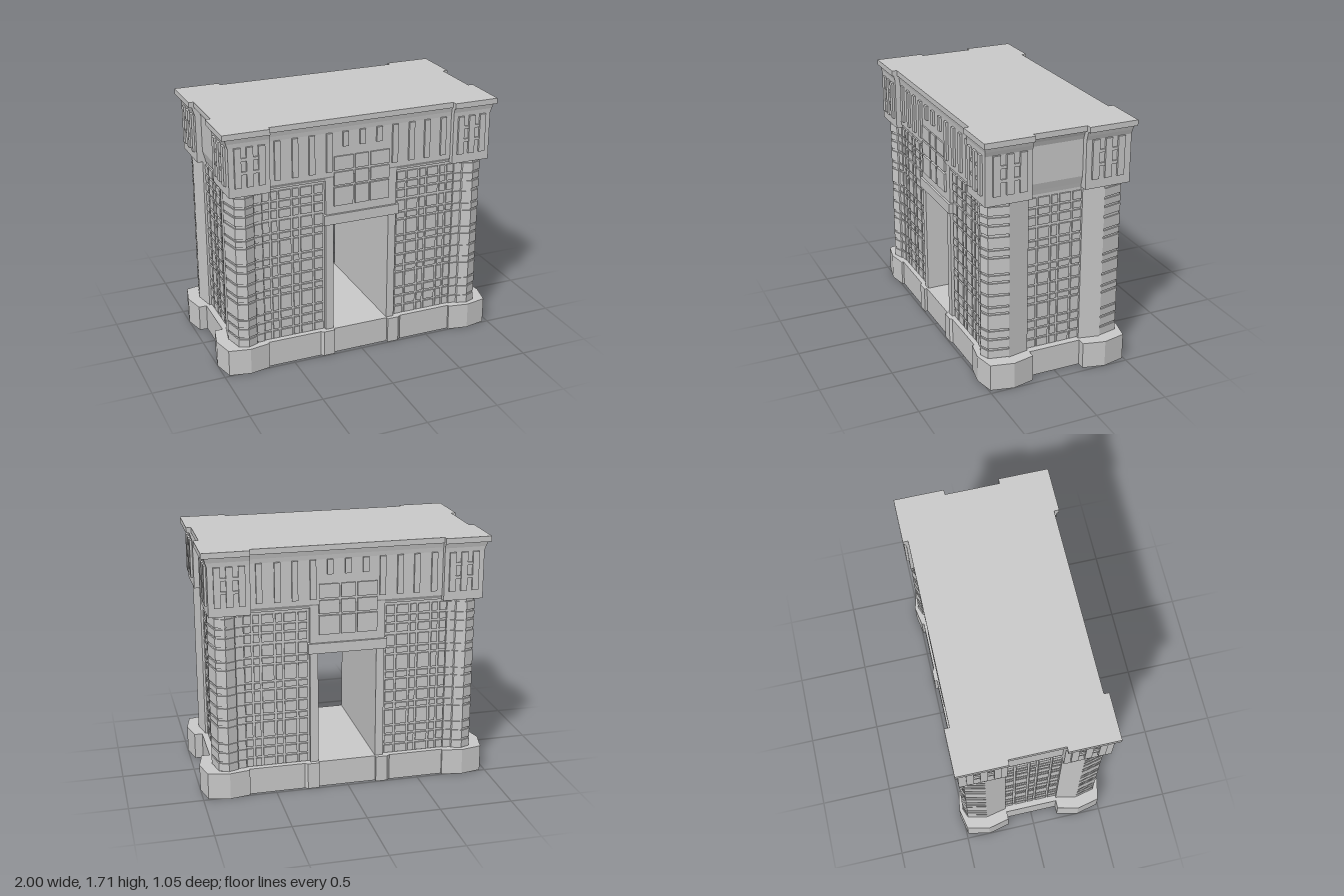
import * as THREE from 'three';
import { mergeGeometries } from 'three/addons/utils/BufferGeometryUtils.js';

const stone = new THREE.MeshStandardMaterial({ color: 0xcccccc, flatShading: true });

// Closed solid through plan rings [x, z], one ring per [y, ring] section
function loft(sections) {
  const area = r => r.reduce((s, p, i) => {
    const q = r[(i + 1) % r.length];
    return s - p[0] * q[1] + q[0] * p[1];
  }, 0);
  const secs = sections.map(([y, r]) => [y, area(r) < 0 ? [...r].reverse() : r]);
  const pos = [];
  const tri = (a, b, c) => pos.push(...a, ...b, ...c);
  const at = (s, i) => {
    const [y, r] = secs[s], p = r[i % r.length];
    return [p[0], y, p[1]];
  };
  const n = secs[0][1].length, last = secs.length - 1;
  for (let s = 0; s < last; s++) for (let i = 0; i < n; i++) {
    tri(at(s, i), at(s, i + 1), at(s + 1, i + 1));
    tri(at(s, i), at(s + 1, i + 1), at(s + 1, i));
  }
  for (const s of [0, last]) {
    const flat = secs[s][1].map(p => new THREE.Vector2(p[0], -p[1]));
    for (const [a, b, c] of THREE.ShapeUtils.triangulateShape(flat, [])) {
      if (s) tri(at(s, a), at(s, b), at(s, c));
      else tri(at(s, a), at(s, c), at(s, b));
    }
  }
  const g = new THREE.BufferGeometry();
  g.setAttribute('position', new THREE.Float32BufferAttribute(pos, 3));
  g.computeVertexNormals();
  return g;
}

// Mirrors a quarter plan (front to side) into a whole ring
const full = q => {
  const r = [...q].reverse();
  return [...q, ...r.map(([x, z]) => [x, -z]), ...q.map(([x, z]) => [-x, -z]), ...r.map(([x, z]) => [-x, z])];
};

const box = (x0, x1, y0, y1, z0, z1) => new THREE.BoxGeometry(x1 - x0, y1 - y0, z1 - z0)
  .translate((x0 + x1) / 2, (y0 + y1) / 2, (z0 + z1) / 2);

// Plan with projecting corner towers
const towerPlan = (xt, zt, xs, zc) => full([[0.65, zc], [0.65, zt], [xt, zt], [xt, 0.185], [xs, 0.185]]);

// Masonry courses, bottom and top
const courses = [
  [0.19, 0.245], [0.26, 0.32], [0.335, 0.385], [0.4, 0.505], [0.52, 0.555], [0.57, 0.64], [0.655, 0.73],
  [0.745, 0.785], [0.8, 0.905], [0.92, 0.96], [0.975, 1.05], [1.07, 1.125], [1.14, 1.185], [1.2, 1.258]
];
const sideColumns = [[-0.19, -0.13], [-0.115, -0.036], [-0.021, 0.021], [0.036, 0.115], [0.13, 0.19]];
const frontColumns = [[0.27, 0.33], [0.345, 0.425], [0.44, 0.48], [0.495, 0.575], [0.59, 0.63], [0.645, 0.69]];

export function createModel() {
  const model = new THREE.Group();
  const add = (name, ...geos) => {
    const list = geos.map(g => (g.index ? g.toNonIndexed() : g));
    list.forEach(g => g.deleteAttribute('uv'));
    const mesh = new THREE.Mesh(mergeGeometries(list), stone);
    mesh.name = name;
    model.add(mesh);
  };
  const signs = [-1, 1];
  // Box repeated on the left, right, front and back
  const four = (x0, x1, y0, y1, z0, z1) => signs.flatMap(sx => signs.map(sz => box(
    sx < 0 ? -x1 : x0, sx < 0 ? -x0 : x1, y0, y1, sz < 0 ? -z1 : z0, sz < 0 ? -z0 : z1)));
  // Box repeated on the front and back
  const frontBack = (x0, x1, y0, y1, z0, z1) => [box(x0, x1, y0, y1, z0, z1), box(x0, x1, y0, y1, -z1, -z0)];

  // Plinth with pointed corner bays
  const basePlan = full([[0.2, 0.475], [0.2, 0.495], [0.28, 0.495], [0.3, 0.48], [0.68, 0.48], [0.68, 0.495],
    [0.82, 0.52], [0.965, 0.49], [1, 0.335], [0.965, 0.185], [0.91, 0.185]]);
  add('plinth', loft([[0, basePlan], [0.185, basePlan]]));

  // Wall core either side of the passage, bridged above
  add('walls', ...signs.map(s => box(s < 0 ? -0.86 : 0.2, s < 0 ? -0.2 : 0.86, 0.18, 0.97, -0.44, 0.44)),
    box(-0.86, 0.86, 0.97, 1.35, -0.44, 0.44));

  // Raised wall blocks
  const blocks = [];
  for (const [y0, y1] of courses) {
    for (const [a, b] of frontColumns) blocks.push(...four(a, b, y0, y1, 0.435, 0.45));
    for (const [a, b] of sideColumns) for (const s of signs)
      blocks.push(box(s < 0 ? -0.87 : 0.855, s < 0 ? -0.855 : 0.87, y0, y1, a, b));
  }
  add('wallBlocks', ...blocks);

  // Corner shafts: a core, with raised courses on the outer half
  const core = [[0.695, 0.4], [0.695, 0.448], [0.75, 0.452], [0.755, 0.463], [0.82, 0.487], [0.878, 0.463],
    [0.907, 0.335], [0.915, 0.335], [0.885, 0.19], [0.8, 0.19]];
  const course = [[0.695, 0.4], [0.695, 0.455], [0.75, 0.46], [0.755, 0.47], [0.82, 0.495], [0.885, 0.47],
    [0.915, 0.335], [0.8, 0.335]];
  const shafts = [], shaftCourses = [];
  for (const sx of signs) for (const sz of signs) {
    const flip = r => r.map(([x, z]) => [x * sx, z * sz]);
    shafts.push(loft([[0.18, flip(core)], [1.3, flip(core)]]));
    for (const [y0, y1] of courses) shaftCourses.push(loft([[y0, flip(course)], [y1, flip(course)]]));
  }
  add('cornerShafts', ...shafts);
  add('shaftCourses', ...shaftCourses);

  // Passage surround
  add('jambs', ...four(0.2, 0.255, 0.18, 0.97, 0.42, 0.465));
  add('lintel', ...frontBack(-0.27, 0.27, 0.97, 1.04, 0.42, 0.48));
  add('upperPier', ...frontBack(-0.255, 0.255, 1.04, 1.32, 0.42, 0.465));
  add('architrave', ...four(0.255, 0.66, 1.28, 1.31, 0.42, 0.46));

  // Frieze, with a coved foot on the side walls
  add('frieze', loft([
    [1.28, towerPlan(0.925, 0.505, 0.865, 0.455)],
    [1.31, towerPlan(0.925, 0.505, 0.872, 0.47)],
    [1.36, towerPlan(0.925, 0.505, 0.885, 0.47)],
    [1.61, towerPlan(0.925, 0.505, 0.885, 0.47)],
    [1.64, towerPlan(0.935, 0.507, 0.895, 0.473)],
    [1.675, towerPlan(0.945, 0.515, 0.91, 0.48)]
  ]));

  // Roof slab
  const cap = towerPlan(0.965, 0.525, 0.93, 0.49);
  add('roofSlab', loft([[1.672, cap], [1.71, cap]]));

  // Grid panel above the passage
  const panes = [];
  for (const [a, b] of [[-0.2, -0.065], [-0.05, 0.045], [0.06, 0.195]])
    for (const [y0, y1] of [[1.1, 1.23], [1.245, 1.335], [1.35, 1.445]])
      panes.push(...frontBack(a, b, y0, y1, 0.45, 0.48));
  add('gridPanel', ...panes);

  // Frieze bars: long ones on the flanks, short ones over the panel
  const bars = [];
  for (const x of [0.235, 0.355, 0.47, 0.59]) bars.push(...four(x - 0.02, x + 0.02, 1.345, 1.61, 0.46, 0.485));
  for (const x of [-0.12, 0, 0.12]) bars.push(...frontBack(x - 0.02, x + 0.02, 1.51, 1.61, 0.46, 0.485));
  add('friezeBars', ...bars);

  // Tower bars with cross pieces, front and side faces
  const towerBars = [];
  for (const x of [0.705, 0.785, 0.865]) towerBars.push(...four(x - 0.022, x + 0.022, 1.345, 1.61, 0.5, 0.52));
  for (const z of [0.25, 0.34, 0.43]) towerBars.push(...four(0.92, 0.94, 1.345, 1.61, z - 0.024, z + 0.024));
  for (const y of [1.44, 1.53]) {
    towerBars.push(...four(0.705, 0.865, y - 0.01, y + 0.01, 0.5, 0.515));
    towerBars.push(...four(0.92, 0.935, y - 0.01, y + 0.01, 0.25, 0.43));
  }
  add('towerBars', ...towerBars);

  return model;
}
